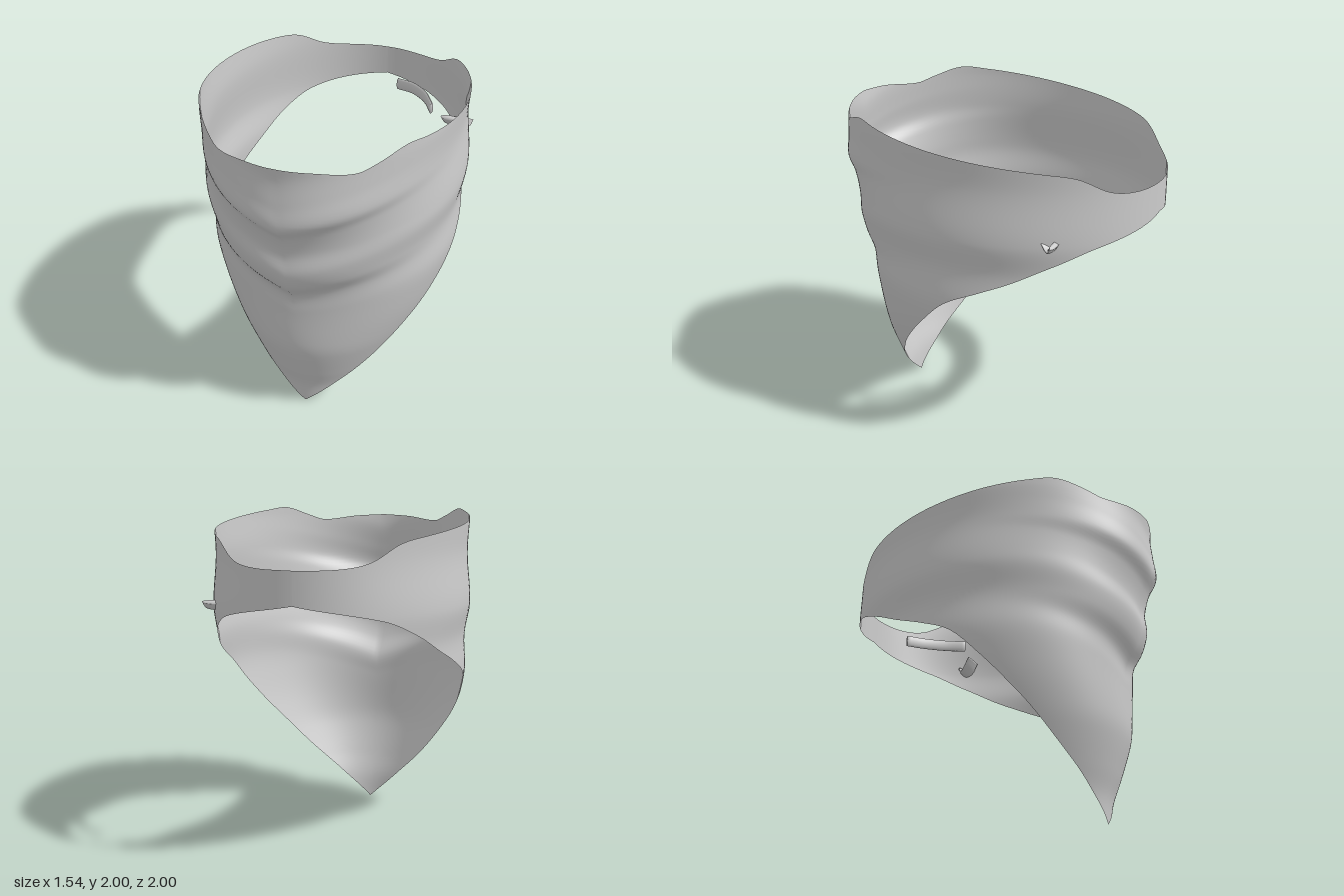
import * as THREE from 'three';
import { ParametricGeometry } from 'three/addons/geometries/ParametricGeometry.js';

const material = new THREE.MeshStandardMaterial({ color: 0xcccccc, side: THREE.DoubleSide });

// Smooth interpolation through [key, value] pairs
function curveThrough(points) {
  const slope = (i) => {
    const a = points[Math.max(i - 1, 0)], b = points[Math.min(i + 1, points.length - 1)];
    return (b[1] - a[1]) / (b[0] - a[0]);
  };
  return (k) => {
    k = THREE.MathUtils.clamp(k, points[0][0], points[points.length - 1][0]);
    let i = 0;
    while (i < points.length - 2 && k > points[i + 1][0]) i++;
    const [k0, v0] = points[i], [k1, v1] = points[i + 1];
    const h = k1 - k0, s = (k - k0) / h, s2 = s * s, s3 = s2 * s;
    return v0 * (2 * s3 - 3 * s2 + 1) + v1 * (3 * s2 - 2 * s3)
      + h * (slope(i) * (s3 - 2 * s2 + s) + slope(i + 1) * (s3 - s2));
  };
}

// Heights of the two hems, by degrees away from the front
const topHem = curveThrough([[0, 1.945], [15, 1.935], [32, 1.912], [40, 1.945], [52, 1.998], [62, 1.985],
  [90, 1.935], [126, 1.872], [136, 1.84], [148, 1.75], [160, 1.718], [180, 1.71]]);
const bottomHem = curveThrough([[0, 0], [24, 0.19], [46.8, 0.4], [67.6, 0.67], [79.6, 0.86], [90, 1.03],
  [101.5, 1.13], [113.6, 1.22], [127, 1.33], [143, 1.43], [180, 1.52]]);

// Folded profile down the front, and profile down the sides, by height
const frontProfile = curveThrough([[0, 0.64], [0.15, 0.66], [0.3, 0.71], [0.5, 0.77], [0.6, 0.785], [0.85, 0.79],
  [0.97, 0.8], [1.08, 0.875], [1.2, 0.912], [1.33, 0.902], [1.47, 0.94], [1.56, 0.995], [1.7, 0.985],
  [1.85, 0.973], [1.95, 0.985]]);
const sideProfile = curveThrough([[0, 0.5], [0.19, 0.6], [0.4, 0.73], [0.67, 0.88], [0.86, 0.955], [1.03, 0.995],
  [1.25, 0.985], [1.45, 1.025], [1.75, 0.992], [1.95, 1.007]]);

// Cloth wall: an ellipse in plan, scaled by the profiles; the folds rise towards the sides
function clothPoint(u, v, target) {
  const t = (u * 2 - 1) * Math.PI;
  const degrees = Math.abs(t) * 180 / Math.PI;
  const y = THREE.MathUtils.lerp(bottomHem(degrees), topHem(degrees), v);
  const side = Math.sin(t) ** 2;
  const lift = 0.2 * Math.abs(Math.sin(t)) * THREE.MathUtils.smoothstep(y, 0.5, 1.1);
  const middle = Math.cos(t) > 0 ? frontProfile(y - lift) : 1;
  const scale = THREE.MathUtils.lerp(middle, sideProfile(y), side);
  target.set(0.75 * scale * Math.sin(t), y, scale * Math.cos(t));
}

// Flat strip swept along a path, with closed ends
function strip(name, points, wide, halfWidth, halfThickness) {
  const path = new THREE.CatmullRomCurve3(points.map((p) => new THREE.Vector3(...p)));
  const geometry = new ParametricGeometry((u, v, target) => {
    const k = THREE.MathUtils.clamp((v - 0.05) / 0.9, 0, 1);
    const open = v < 0.01 || v > 0.99 ? 0 : 1;
    const normal = path.getTangent(k).cross(wide).normalize();
    const a = u * Math.PI * 2;
    target.copy(path.getPoint(k))
      .addScaledVector(wide, open * halfWidth * Math.cos(a))
      .addScaledVector(normal, open * halfThickness * Math.sin(a));
  }, 16, 20);
  geometry.computeVertexNormals();
  const mesh = new THREE.Mesh(geometry, material);
  mesh.name = name;
  return mesh;
}

export function createModel() {
  const model = new THREE.Group();
  model.name = 'bandana';

  const clothGeometry = new ParametricGeometry(clothPoint, 160, 80);
  clothGeometry.computeVertexNormals();
  const cloth = new THREE.Mesh(clothGeometry, material);
  cloth.name = 'cloth';
  model.add(cloth);

  // Loose tie end inside the back, and knot tail poking through the wall
  model.add(strip('innerTie', [[0.43, 1.58, -0.52], [0.36, 1.58, -0.64], [0.25, 1.57, -0.75], [0.13, 1.55, -0.815]],
    new THREE.Vector3(0, 1, 0), 0.04, 0.014));
  model.add(strip('knotTail', [[0.56, 1.53, -0.525], [0.575, 1.475, -0.565], [0.6, 1.45, -0.605], [0.615, 1.485, -0.63]],
    new THREE.Vector3(1, 0, 0), 0.068, 0.015));
  return model;
}
